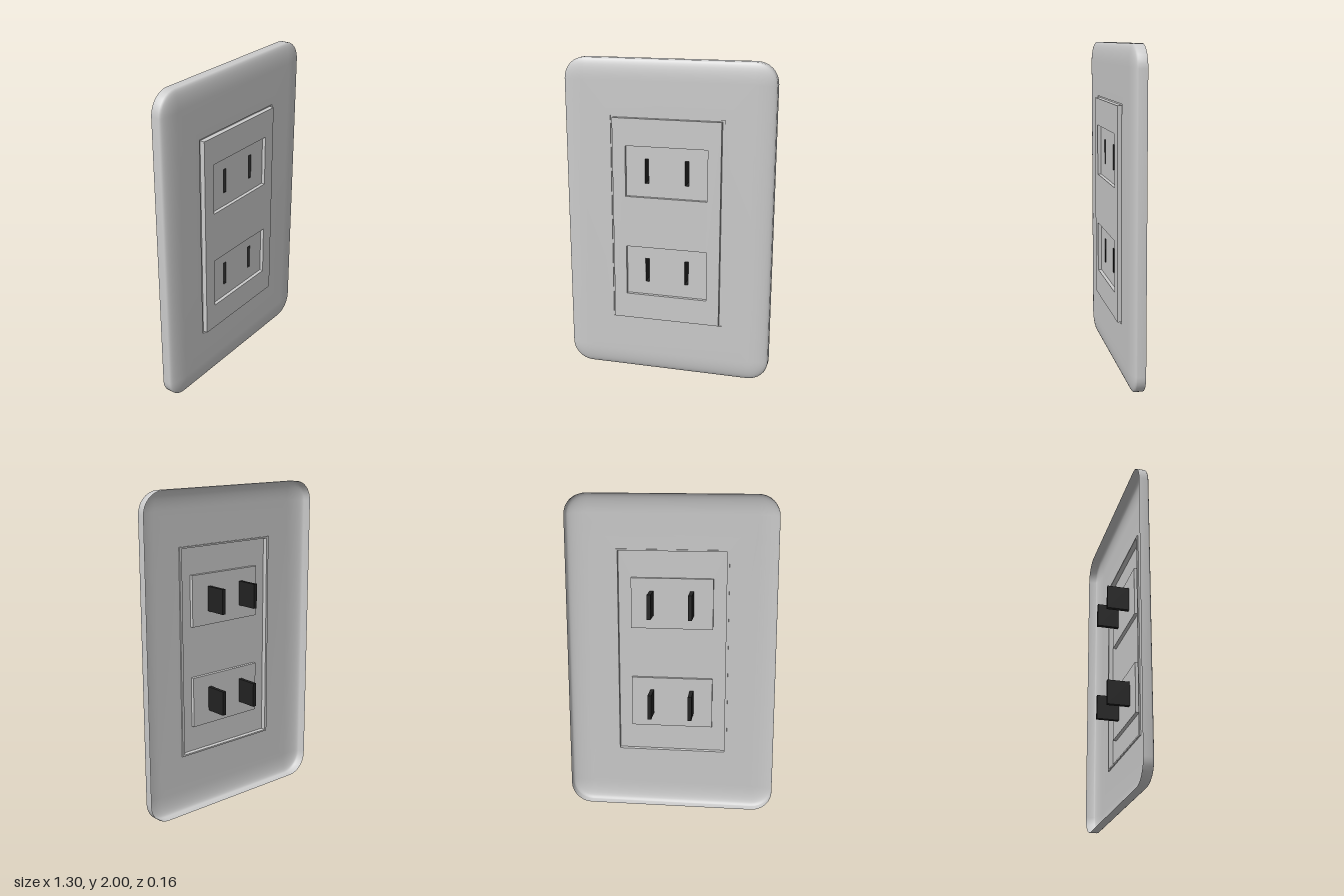
import * as THREE from 'three';
import { toCreasedNormals } from 'three/addons/utils/BufferGeometryUtils.js';

const grey = new THREE.MeshStandardMaterial({ color: 0xcccccc, side: THREE.DoubleSide });
const dark = new THREE.MeshStandardMaterial({ color: 0x222222, side: THREE.DoubleSide });

// Rounded rectangle outline, counter-clockwise; radius 0 gives stacked corners
function outline(cx, cy, hw, hh, z, radius = 0, steps = 0) {
  const points = [];
  [[1, 1], [-1, 1], [-1, -1], [1, -1]].forEach(([sx, sy], corner) => {
    for (let i = 0; i <= steps; i++) {
      const a = (corner + (steps ? i / steps : 0)) * Math.PI / 2;
      points.push([
        cx + sx * (hw - radius) + radius * Math.cos(a),
        cy + sy * (hh - radius) + radius * Math.sin(a), z]);
    }
  });
  return points;
}

// Sheet joining successive outlines, from outside to inside
function loft(rings, crease) {
  const n = rings[0].length, index = [];
  for (let r = 0; r < rings.length - 1; r++) {
    for (let i = 0; i < n; i++) {
      const j = (i + 1) % n, a = r * n, b = a + n;
      index.push(a + i, a + j, b + j, a + i, b + j, b + i);
    }
  }
  const geo = new THREE.BufferGeometry();
  geo.setAttribute('position', new THREE.Float32BufferAttribute(rings.flat(2), 3));
  geo.setIndex(index);
  geo.computeVertexNormals();
  return toCreasedNormals(geo, crease);
}

// Flat rectangular face with rectangular holes; rects are { x, y, hw, hh }
function face(rect, z, holes = []) {
  const corners = r => outline(r.x, r.y, r.hw, r.hh, 0).map(p => new THREE.Vector2(p[0], p[1]));
  const shape = new THREE.Shape(corners(rect));
  shape.holes = holes.map(h => new THREE.Path(corners(h)));
  return new THREE.ShapeGeometry(shape).translate(0, 0, z);
}

// Straight or stepped walls through a list of [rect, z]
const walls = (...levels) =>
  loft(levels.map(([r, z]) => outline(r.x, r.y, r.hw, r.hh, z)), 0.5);

export function createModel() {
  const model = new THREE.Group();
  const add = (parent, name, geometry, material = grey) => {
    const mesh = new THREE.Mesh(geometry, material);
    mesh.name = name;
    parent.add(mesh);
  };

  const opening = { x: 0, y: 1.005, hw: 0.354, hh: 0.655 };
  const panel = { x: 0, y: 1.005, hw: 0.338, hh: 0.645 };
  const frontZ = 0.058, panelZ = 0.08, recessZ = 0.058, backZ = -0.08;

  // Cover plate: hollow shell with a soft front edge, open at the back
  const steps = 8;
  const rings = [outline(0, 1, 0.65, 1, -0.02, 0.13, steps)];
  for (let i = 0; i <= 8; i++) {
    const a = i / 8 * Math.PI / 2;
    const inset = 0.125 * (1 - Math.cos(a));
    rings.push(outline(0, 1, 0.65 - inset, 1 - inset, 0.03 + 0.028 * Math.sin(a), 0.13 - inset, steps));
  }
  rings.push(outline(opening.x, opening.y, opening.hw, opening.hh, frontZ, 0, steps));
  add(model, 'coverPlate', loft(rings, 1));

  // Groove around the raised panel
  add(model, 'panelGroove',
    walls([opening, frontZ], [opening, 0.05], [panel, 0.05], [panel, panelZ]));

  const recesses = [0.682, 1.322].map(y => ({ x: 0, y, hw: 0.257, hh: 0.159 }));
  add(model, 'panelFace', face(panel, panelZ, recesses));

  // Two sockets, each a shallow recess with a pair of deep slots
  recesses.forEach((recess, i) => {
    const socket = new THREE.Group();
    socket.name = i ? 'upperSocket' : 'lowerSocket';
    model.add(socket);
    const slots = [-0.126, 0.126].map(x => ({ x, y: recess.y + 0.003, hw: 0.012, hh: 0.077 }));
    add(socket, 'recessWalls', walls([recess, panelZ], [recess, recessZ]));
    add(socket, 'recessFloor', face(recess, recessZ, slots));
    slots.forEach((slot, k) => {
      const side = k ? 'left' : 'right';
      add(socket, side + 'SlotWalls', walls([slot, recessZ], [slot, backZ]), dark);
      add(socket, side + 'SlotEnd', face(slot, backZ), dark);
    });
  });

  return model;
}
